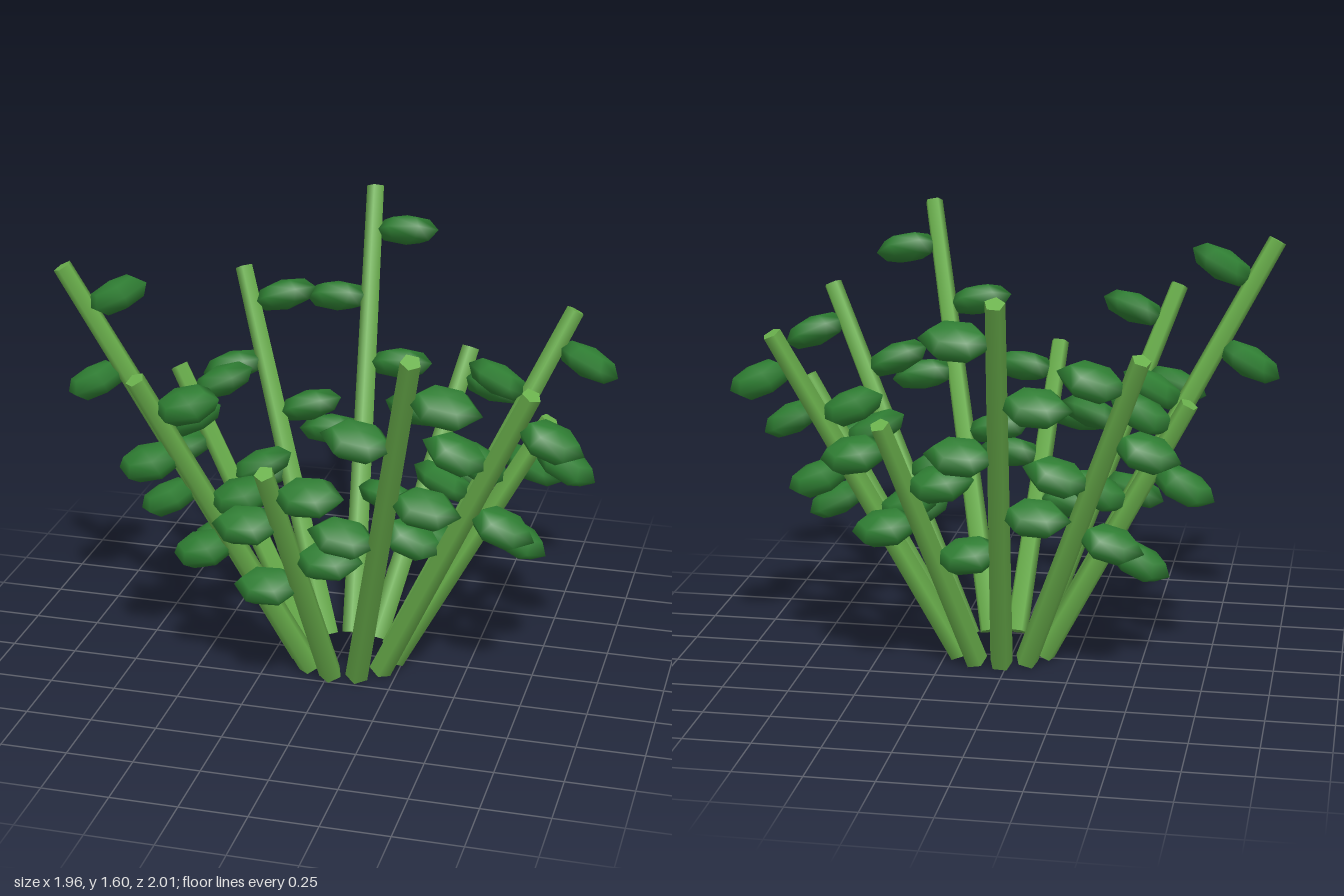
import * as THREE from 'three';

const STEMS = 11;
const RING = 0.178;              // radius of the circle of stem bases
const LEAN = 0.5;                // outward lean in radians
const LENGTHS = [1.187, 1.484, 1.78];
const LEAF_STEPS = [0.45, 0.6, 0.75, 0.9];
const LEAF_OFFSET = 0.133;

export function createModel() {
  const stemGreen = new THREE.MeshStandardMaterial({ name: 'stemGreen', color: 0x6ab04c });
  const leafGreen = new THREE.MeshStandardMaterial({ name: 'leafGreen', color: 0x2e7d32 });

  // Pointed six-sided leaf, long in x
  const leafGeometry = new THREE.SphereGeometry(1, 6, 4).scale(0.129, 0.06, 0.086);
  // Tapered five-sided stems with their base at the origin
  const stemGeometries = LENGTHS.map((length) =>
    new THREE.CylinderGeometry(0.036, 0.045, length, 5).translate(0, length / 2, 0));

  const plant = new THREE.Group();
  plant.name = 'bush';

  for (let i = 0; i < STEMS; i++) {
    const angle = (i / STEMS) * Math.PI * 2;
    const kind = i % LENGTHS.length;

    // Each branch leans outward and carries its leaves with it
    const branch = new THREE.Group();
    branch.name = `branch${i + 1}`;
    branch.position.set(0.042 + RING * Math.cos(angle), 0.021, 0.04 + RING * Math.sin(angle));
    branch.rotation.set(LEAN * Math.sin(angle), 0, -LEAN * Math.cos(angle));

    const stem = new THREE.Mesh(stemGeometries[kind], stemGreen);
    stem.name = 'stem';
    branch.add(stem);

    // Leaves alternate from side to side up the stem
    LEAF_STEPS.forEach((step, j) => {
      const leaf = new THREE.Mesh(leafGeometry, leafGreen);
      leaf.name = 'leaf';
      leaf.position.set(j % 2 ? LEAF_OFFSET : -LEAF_OFFSET, LENGTHS[kind] * step, 0);
      branch.add(leaf);
    });
    plant.add(branch);
  }
  return plant;
}
